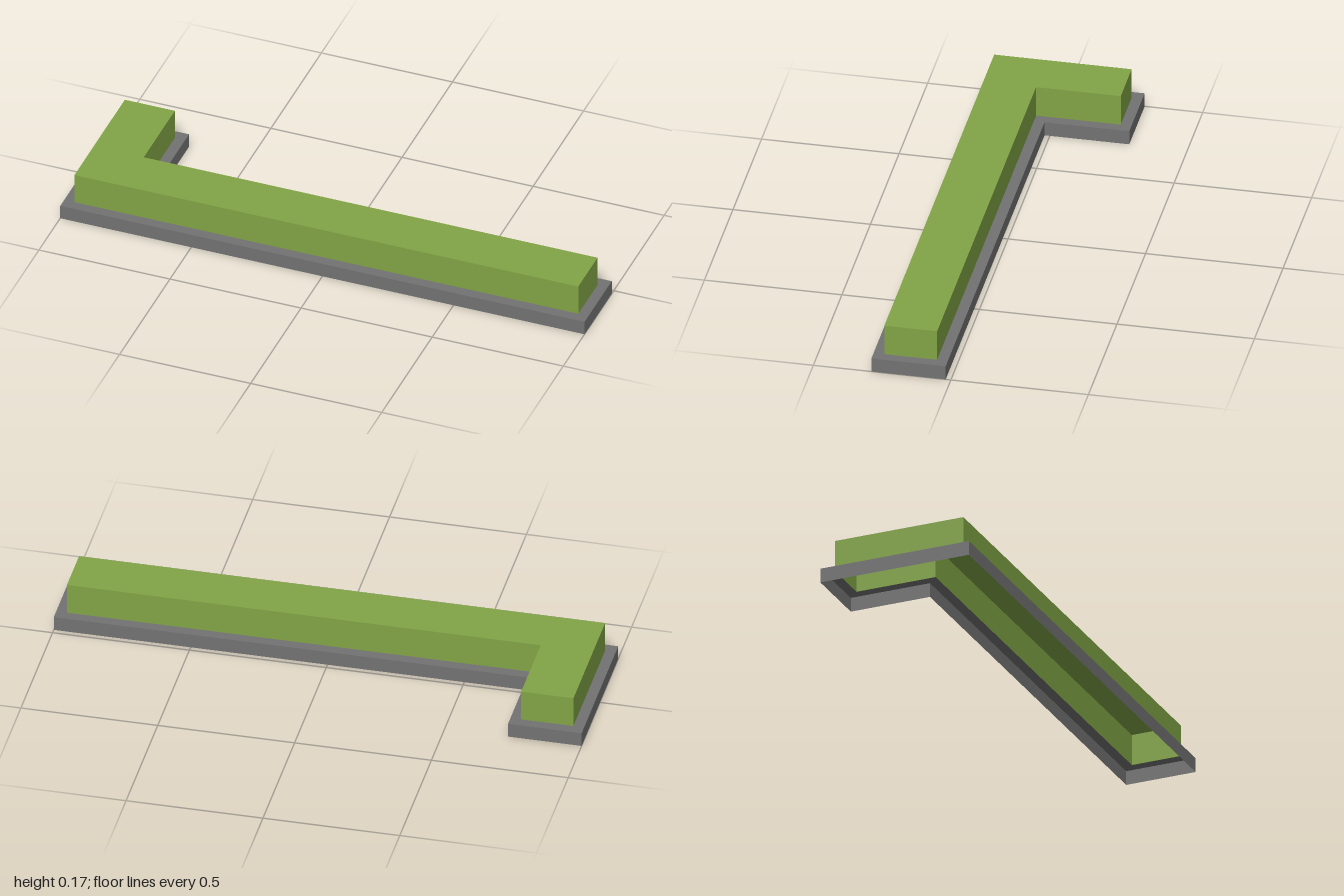
import * as THREE from 'three';

const BASE_TOP = 0.054, HEDGE_TOP = 0.172, LEDGE = 0.039;

// L-shaped outline in plan (x, -z), counterclockwise from above, shrunk by an inset
function outline(inset) {
  const x = 1 - inset, y = 0.289 - inset;
  const cornerX = -0.731 - inset, cornerY = -0.019 - inset;
  return [[-x, -y], [x, -y], [x, cornerY], [cornerX, cornerY], [cornerX, y], [-x, y]]
    .map(([px, py]) => new THREE.Vector2(px, py));
}

// Vertical walls following an outline, one flat quad per side
function walls(points, y0, y1) {
  const pos = [];
  points.forEach((a, i) => {
    const b = points[(i + 1) % points.length];
    const quad = [[a, y0], [b, y0], [b, y1], [a, y0], [b, y1], [a, y1]];
    for (const [p, y] of quad) pos.push(p.x, y, -p.y);
  });
  const geo = new THREE.BufferGeometry();
  geo.setAttribute('position', new THREE.Float32BufferAttribute(pos, 3));
  geo.computeVertexNormals();
  return geo;
}

// Horizontal face at height y, with an optional hole
function cap(points, y, hole) {
  const shape = new THREE.Shape(points);
  if (hole) shape.holes.push(new THREE.Path(hole));
  return new THREE.ShapeGeometry(shape).rotateX(-Math.PI / 2).translate(0, y, 0);
}

export function createModel() {
  const stone = new THREE.MeshStandardMaterial({ name: 'stone grey', color: 0x727272, side: THREE.DoubleSide });
  const leaf = new THREE.MeshStandardMaterial({ name: 'hedge green', color: 0x81a446, side: THREE.DoubleSide });
  const model = new THREE.Group();
  model.name = 'cornerHedge';

  const add = (name, geometry, material) => {
    const mesh = new THREE.Mesh(geometry, material);
    mesh.name = name;
    model.add(mesh);
  };

  const outer = outline(0), inner = outline(LEDGE);

  // Kerb: open underneath, with a ledge around the hedge
  add('kerbWalls', walls(outer, 0, BASE_TOP), stone);
  add('kerbLedge', cap(outer, BASE_TOP, inner), stone);

  // Hedge: hollow block rising from the ledge
  add('hedgeWalls', walls(inner, BASE_TOP, HEDGE_TOP), leaf);
  add('hedgeTop', cap(inner, HEDGE_TOP), leaf);

  return model;
}
